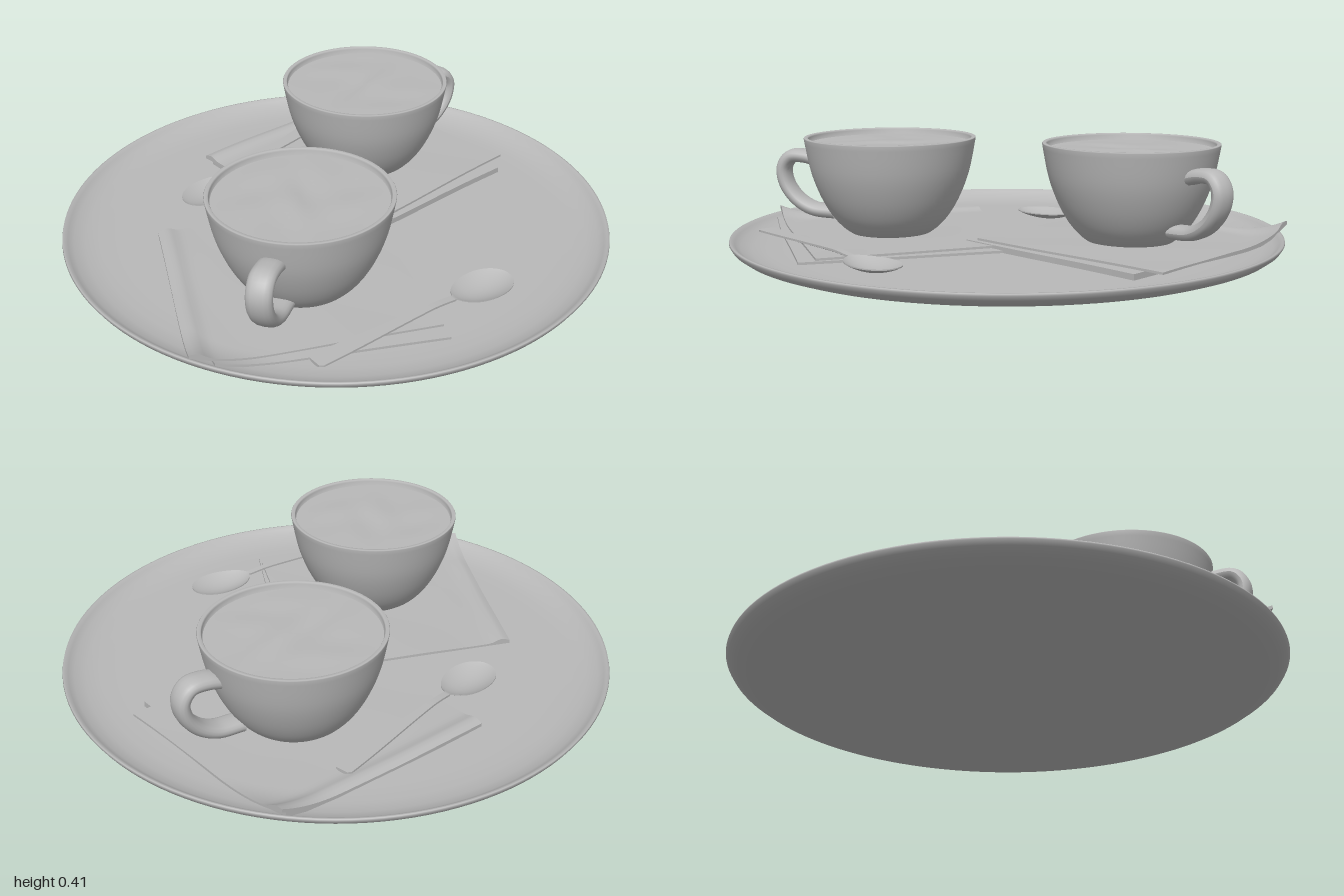
import * as THREE from 'three';

const grey = new THREE.MeshStandardMaterial({ color: 0xb8b8b8 });
grey.name = 'plain grey';

const V2 = (list) => list.map(([x, y]) => new THREE.Vector2(x, y));

function add(parent, name, geometry) {
  const mesh = new THREE.Mesh(geometry, grey);
  mesh.name = name;
  parent.add(mesh);
  return mesh;
}

// Moves every vertex by a rule, then refreshes the normals
function warp(geometry, rule) {
  const pos = geometry.attributes.position;
  const v = new THREE.Vector3();
  for (let i = 0; i < pos.count; i++) {
    rule(v.fromBufferAttribute(pos, i));
    pos.setXYZ(i, v.x, v.y, v.z);
  }
  geometry.computeVertexNormals();
  return geometry;
}

// Cup with wall, flat handle and a gently uneven drink
function makeCup(name, x, z, turn) {
  const cup = new THREE.Group();
  cup.name = name;
  const outer = new THREE.SplineCurve(V2([
    [0.15, 0.055], [0.185, 0.082], [0.225, 0.13], [0.263, 0.2], [0.295, 0.29], [0.318, 0.408],
  ])).getPoints(24);
  add(cup, 'cupBody', new THREE.LatheGeometry([
    ...V2([[0, 0.055]]), ...outer,
    ...V2([[0.316, 0.411], [0.304, 0.411], [0.301, 0.405], [0.297, 0.375], [0, 0.375]]),
  ], 72));

  const drink = new THREE.RingGeometry(0.001, 0.302, 56, 12).rotateX(-Math.PI / 2);
  warp(drink, (v) => {
    const fade = 1 - Math.hypot(v.x, v.z) / 0.302;
    v.y = 0.388 + 0.006 * fade * Math.sin(v.x * 21 + 2 * Math.sin(v.z * 13)) * Math.cos(v.z * 17);
  });
  add(cup, 'drink', drink);

  const path = new THREE.CatmullRomCurve3([
    [0.285, 0.315], [0.34, 0.328], [0.395, 0.325], [0.425, 0.285],
    [0.418, 0.225], [0.375, 0.165], [0.31, 0.128], [0.215, 0.118],
  ].map(([r, y]) => new THREE.Vector3(r, y, 0)));
  const handle = new THREE.TubeGeometry(path, 48, 0.026, 16);
  // Squarish, strap-like section
  warp(handle, (v) => {
    const q = v.z / 0.026;
    v.z = Math.sign(q) * Math.pow(Math.abs(q), 0.75) * 0.045;
  });
  add(cup, 'cupHandle', handle);
  cup.position.set(x, 0, z);
  cup.rotation.y = turn;
  return cup;
}

// One cloth layer spread between four corners, following the plate's rim
function makeLayer(corners, low, high, roll) {
  const [a, b, c, d] = corners;
  return warp(new THREE.BoxGeometry(1, 1, 1, 40, 1, 48), (p) => {
    const u = p.x + 0.5, v = p.z + 0.5, top = p.y > 0;
    const mix = (k) => (1 - v) * ((1 - u) * a[k] + u * b[k]) + v * ((1 - u) * d[k] + u * c[k]);
    const x = mix(0) + 0.008 * Math.sin(v * Math.PI * 2) * (u - 0.5);
    const z = mix(1) + 0.006 * Math.sin(u * Math.PI * 2) * (v - 0.5);
    const rise = 0.045 * Math.pow(Math.max(0, (Math.hypot(x, z) - 0.85) / 0.15), 2);
    const fold = roll * Math.exp(-Math.pow((v - 0.04) / 0.035, 2));
    const wave = roll * 0.12 * Math.sin(u * 9 + v * 4) * Math.cos(v * 8);
    p.set(x, (top ? high + fold + wave : low) + rise, z);
  });
}

function makeNapkin(name, lower, upper, base, middle, top) {
  const napkin = new THREE.Group();
  napkin.name = name;
  add(napkin, 'lowerFold', makeLayer(lower, base, middle, 0));
  add(napkin, 'upperFold', makeLayer(upper, middle + 0.001, top, 0.014));
  return napkin;
}

// Spoon laid from its bowl tip towards the end of its handle
function makeSpoon(name, tip, end) {
  const dx = end[0] - tip[0], dz = end[1] - tip[1];
  const length = Math.hypot(dx, dz), bowlLength = 0.25;
  const smooth = THREE.MathUtils.smoothstep;
  const geometry = warp(new THREE.BoxGeometry(1, 1, 1, 90, 1, 14), (p) => {
    const s = Math.pow(p.x + 0.5, 1.4) * length, q = p.z * 2;
    const k = s / bowlLength;
    const bowl = k < 1 ? 0.086 * Math.sqrt(Math.max(0, 1 - Math.pow(2 * k - 1, 2))) * (1.04 - 0.15 * k) : 0;
    const shaft = s > 0.2 ? 0.013 + 0.02 * smooth(s, 0.28, length) : 0;
    const rounding = Math.sqrt(Math.min(1, Math.max(0, (length - s) / 0.012)));
    const width = Math.max(bowl, shaft * (0.7 + 0.3 * rounding));
    const hollow = k < 1 ? 0.026 * Math.pow(Math.sin(Math.PI * k), 0.8) * (1 - q * q) : 0;
    const spine = 0.064 + 0.012 * smooth(s, 0.18, 0.36);
    const thick = k < 1 ? 0.004 : 0.004 + 0.008 * (1 - 0.6 * q * q);
    p.set(s, spine - hollow - (p.y > 0 ? 0 : thick), q * width);
  });
  const spoon = new THREE.Group();
  spoon.name = name;
  add(spoon, 'spoonBody', geometry);
  spoon.position.set(tip[0], 0, tip[1]);
  spoon.rotation.y = Math.atan2(-dz, dx);
  return spoon;
}

export function createModel() {
  const model = new THREE.Group();
  model.name = 'coffeeTray';

  // Round plate with a low upturned rim
  add(model, 'plate', new THREE.LatheGeometry(V2([
    [0, 0], [0.7, 0], [0.78, 0.002], [0.86, 0.008], [0.92, 0.018], [0.965, 0.034], [0.99, 0.052],
    [1, 0.068], [0.998, 0.075], [0.991, 0.076], [0.98, 0.066], [0.96, 0.052], [0.92, 0.038],
    [0.87, 0.032], [0.8, 0.03], [0, 0.03],
  ]), 128));

  // Folded napkins, the back one overlapping the front one
  model.add(makeNapkin('frontNapkin',
    [[-0.76, 0.6], [-0.61, -0.2], [0.21, -0.06], [-0.02, 0.81]],
    [[-0.83, 0.56], [-0.62, -0.22], [0.15, -0.08], [-0.01, 0.75]], 0.028, 0.039, 0.048));
  model.add(makeNapkin('backNapkin',
    [[-0.22, -0.63], [0.55, -0.81], [0.75, -0.02], [-0.03, 0.155]],
    [[-0.24, -0.65], [0.575, -0.84], [0.81, -0.09], [0.01, 0.13]], 0.028, 0.051, 0.06));

  // Cups with handles turned outwards
  model.add(makeCup('backCup', 0.31, -0.33, 0.15));
  model.add(makeCup('frontCup', -0.31, 0.32, Math.PI * 1.25));

  // Spoons resting on the napkins
  model.add(makeSpoon('backSpoon', [-0.45, -0.34], [0.305, -0.69]));
  model.add(makeSpoon('frontSpoon', [0.335, 0.625], [-0.49, 0.75]));
  return model;
}
